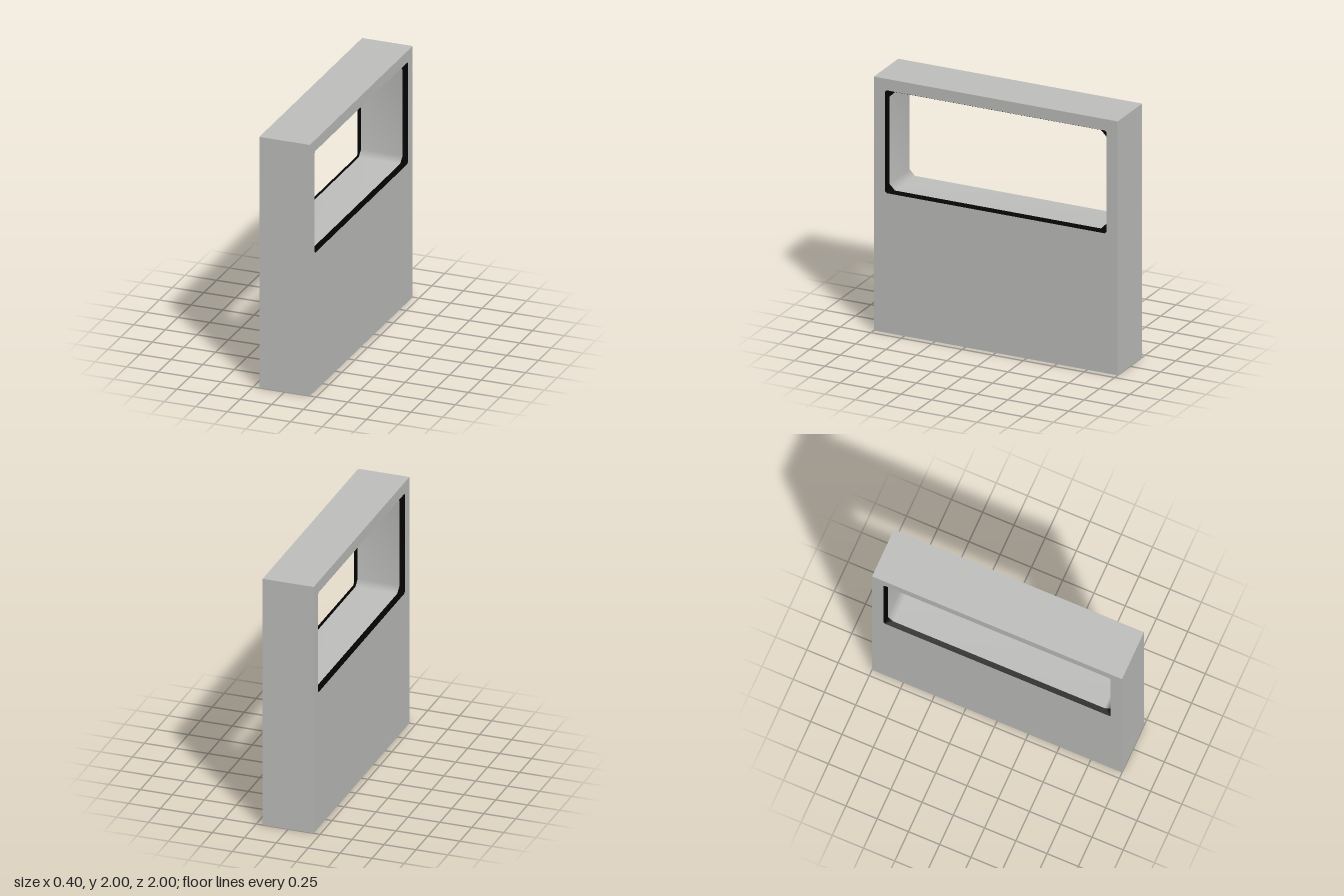
import * as THREE from 'three';

const HALF_DEPTH = 0.2;
const CENTRE_Y = 1.505;

// Rectangle with cut corners, counter-clockwise, centred on the opening.
function cutRect(halfW, halfH, cut) {
  const points = [];
  for (const [sx, sy] of [[1, 1], [-1, 1], [-1, -1], [1, -1]]) {
    const a = new THREE.Vector2(sx * halfW, CENTRE_Y + sy * (halfH - cut));
    const b = new THREE.Vector2(sx * (halfW - cut), CENTRE_Y + sy * halfH);
    points.push(...(sx * sy > 0 ? [a, b] : [b, a]));
  }
  return points;
}

// Inward-facing band joining two outlines at depths w0 < w1.
function band(outline0, w0, outline1, w1) {
  const n = outline0.length;
  const positions = [];
  const index = [];
  for (const p of outline0) positions.push(p.x, p.y, w0);
  for (const p of outline1) positions.push(p.x, p.y, w1);
  for (let i = 0; i < n; i++) {
    const j = (i + 1) % n;
    index.push(i, n + i, j, j, n + i, n + j);
  }
  const geometry = new THREE.BufferGeometry();
  geometry.setAttribute('position', new THREE.Float32BufferAttribute(positions, 3));
  geometry.setIndex(index);
  geometry.computeVertexNormals();
  return geometry;
}

export function createModel() {
  const grey = new THREE.MeshStandardMaterial({ name: 'wall grey', color: 0xc0c0be });
  const black = new THREE.MeshStandardMaterial({ name: 'seal black', color: 0x020202 });

  const model = new THREE.Group();
  model.name = 'windowPanel';
  const add = (name, geometry, material) => {
    const mesh = new THREE.Mesh(geometry, material);
    mesh.name = name;
    model.add(mesh);
  };

  const outer = cutRect(0.907, 0.405, 0.012);
  const inner = cutRect(0.89, 0.388, 0.045);
  const sealDepth = 0.036;
  const linerEnd = HALF_DEPTH - sealDepth;

  // Solid panel with the window opening
  const face = new THREE.Shape([
    new THREE.Vector2(-1, 0), new THREE.Vector2(1, 0),
    new THREE.Vector2(1, 2), new THREE.Vector2(-1, 2),
  ]);
  face.holes.push(new THREE.Path([...outer].reverse()));
  const wall = new THREE.ExtrudeGeometry(face, { depth: 2 * HALF_DEPTH, bevelEnabled: false });
  wall.translate(0, 0, -HALF_DEPTH);
  add('wall', wall, grey);

  // Smooth lining of the opening
  add('windowLining', band(inner, -linerEnd, inner, linerEnd), grey);

  // Sloping black seal around both rims
  add('leftSeal', band(inner, linerEnd, outer, HALF_DEPTH), black);
  add('rightSeal', band(outer, -HALF_DEPTH, inner, -linerEnd), black);

  // Turn the panel so its thickness runs along x
  model.rotation.y = Math.PI / 2;
  return model;
}
